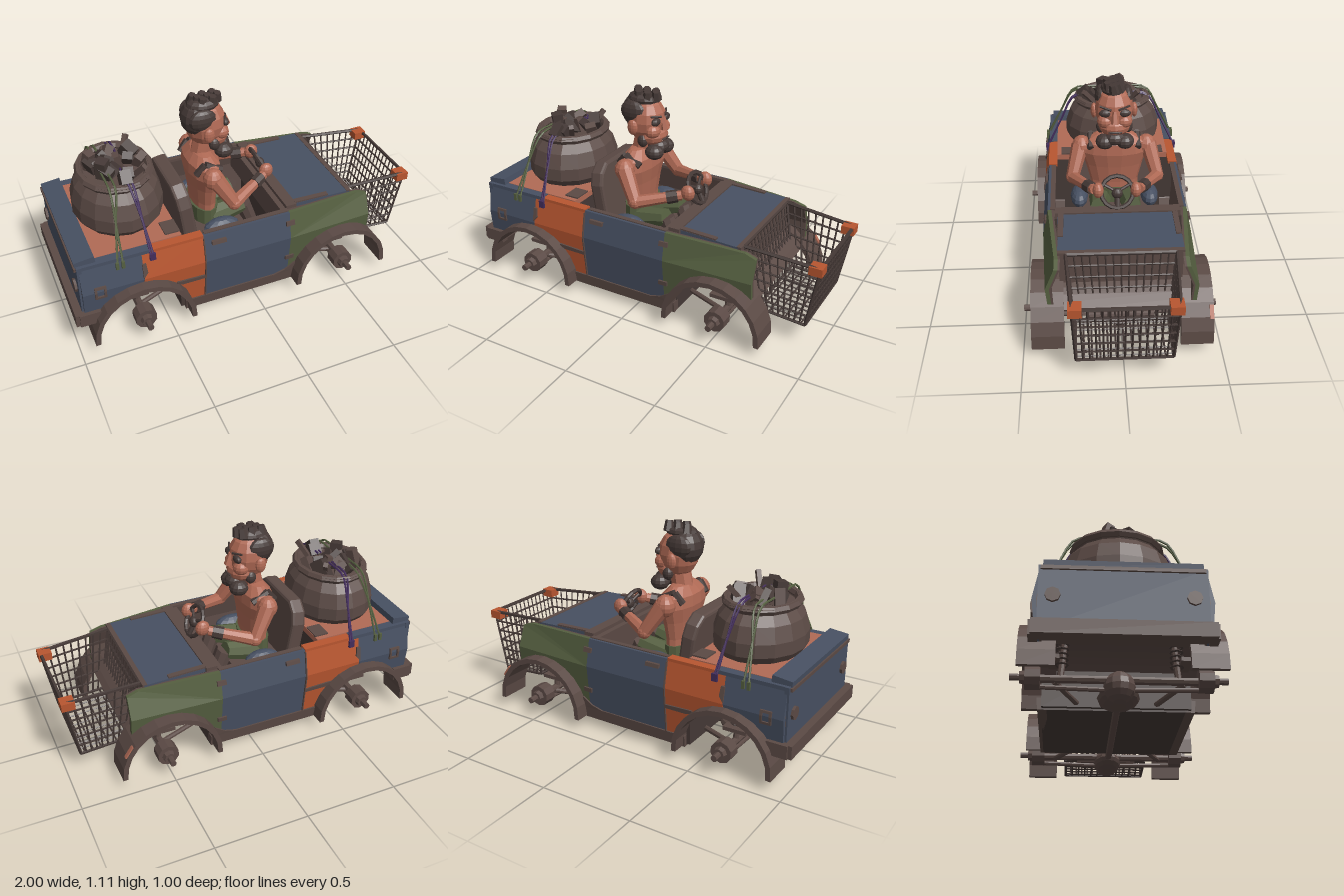
import * as THREE from 'three';

const paint = (name, color) =>
  Object.assign(new THREE.MeshStandardMaterial({ color, flatShading: true, side: THREE.DoubleSide }), { name });
const blue = paint('fadedBlue', 0x475062);
const orange = paint('rustOrange', 0xb85630);
const green = paint('oliveGreen', 0x555f40);
const brown = paint('oldBrown', 0x5b4a45);
const dark = paint('darkBrown', 0x453936);
const skin = paint('skin', 0xb06a55);
const purple = paint('purple', 0x432d5c);

const V = (x, y, z) => new THREE.Vector3(x, y, z);
let seed = 7;
const rnd = () => (seed = (seed * 16807) % 2147483647) / 2147483647;

export function createModel() {
  const root = new THREE.Group();
  let parent = root;
  const group = (name) => { parent = new THREE.Group(); parent.name = name; root.add(parent); };
  const add = (name, geo, mat, p = [0, 0, 0], r = [0, 0, 0], s = [1, 1, 1]) => {
    const m = new THREE.Mesh(geo, mat);
    m.name = name;
    m.position.set(...p); m.rotation.set(...r); m.scale.set(...s);
    parent.add(m);
    return m;
  };
  // box given by its limits
  const box = (name, mat, x0, x1, y0, y1, z0, z1) =>
    add(name, new THREE.BoxGeometry(x1 - x0, y1 - y0, z1 - z0), mat, [(x0 + x1) / 2, (y0 + y1) / 2, (z0 + z1) / 2]);
  const ball = (name, mat, p, s, r = [0, 0, 0]) => add(name, new THREE.SphereGeometry(1, 12, 8), mat, p, r, s);
  const rod = (name, mat, a, b, r0, r1 = r0, n = 8) => {
    const d = b.clone().sub(a);
    const m = add(name, new THREE.CylinderGeometry(r1, r0, d.length(), n), mat, a.clone().add(b).multiplyScalar(0.5).toArray());
    m.quaternion.setFromUnitVectors(V(0, 1, 0), d.normalize());
    return m;
  };
  const both = (fn) => [1, -1].forEach(fn);
  const shape = (pts) => new THREE.Shape(pts.map((p) => new THREE.Vector2(...p)));

  // half width of the body: creased at y 0.36, narrower towards the nose
  const side = (x, y) => {
    const t = Math.max(0, (x - 0.19) / 0.49);
    const crease = 0.4 - 0.02 * t, top = 0.37 - 0.05 * t;
    return y > 0.36 ? crease + (top - crease) * (y - 0.36) / 0.15 : crease - 0.03 * (0.36 - y) / 0.3;
  };
  const panel = (name, mat, pts, s, lift = 0, thick = 0.02) => {
    const g = new THREE.ExtrudeGeometry(shape(pts), { depth: 1, bevelEnabled: false });
    const a = g.attributes.position;
    for (let i = 0; i < a.count; i++) {
      const outer = (a.getZ(i) > 0.5) === (s > 0);
      a.setZ(i, s * (side(a.getX(i), a.getY(i)) + lift - (outer ? 0 : thick)));
    }
    g.computeVertexNormals();
    add(name, g, mat);
  };
  // body panel with a bare inner lining
  const lined = (name, mat, pts, s) => {
    panel(name, mat, pts, s);
    panel(name + 'Lining', brown, pts, s, -0.02, 0.01);
  };
  // thin plate lying on the body side
  const patch = (name, mat, pts, s) => panel(name, mat, pts, s, 0.009, 0.009);
  const rect = (x0, x1, y0, y1) => [[x0, y0], [x1, y0], [x1, y1], [x0, y1]];
  const RX = -0.65, FX = 0.49, AY = 0.07;
  const arc = (cx, r, a0, a1, n = 8) => Array.from({ length: n + 1 }, (_, i) => {
    const a = (a0 + (a1 - a0) * i / n) * Math.PI / 180;
    return [cx + r * Math.cos(a), AY + r * Math.sin(a)];
  });

  group('bodySides');
  both((s) => {
    lined('rearQuarterUpper', blue, rect(-0.95, -0.63, 0.36, 0.51), s);
    lined('rearQuarterLower', blue, [[-0.95, 0.36], [-0.95, 0.2], [-0.9, 0.17], ...arc(RX, 0.265, 160, 88), [-0.63, 0.36]], s);
    lined('middlePanelUpper', orange, rect(-0.63, -0.3, 0.36, 0.51), s);
    lined('middlePanelLower', orange, [[-0.63, 0.36], ...arc(RX, 0.265, 86, 8), [-0.3, 0.1], [-0.3, 0.36]], s);
    lined('doorUpper', blue, rect(-0.3, 0.19, 0.36, 0.51), s);
    lined('doorLower', blue, rect(-0.3, 0.19, 0.1, 0.36), s);
    lined('fenderUpper', green, [[0.19, 0.36], [0.68, 0.36], [0.68, 0.475], [0.62, 0.495], [0.19, 0.51]], s);
    lined('fenderLower', green, [[0.19, 0.36], [0.19, 0.1], [0.225, 0.1], ...arc(FX, 0.265, 172, 44), [0.68, 0.36]], s);
    panel('sill', brown, rect(-0.41, 0.25, 0.05, 0.112), s, 0.009, 0.045);
    // worn strips, hinges, handle and lamp
    patch('doorGap', brown, rect(-0.303, -0.297, 0.11, 0.36), s);
    patch('doorGap', brown, rect(-0.303, -0.297, 0.36, 0.5), s);
    patch('wornBand', brown, [[-0.46, 0.264], [-0.43, 0.25], [-0.3, 0.25], [-0.3, 0.27], [-0.46, 0.276]], s);
    patch('wornPatch', brown, [[0.1, 0.11], [0.23, 0.11], [0.23, 0.17], [0.17, 0.13]], s);
    patch('rustPatch', brown, [[-0.635, 0.37], [-0.61, 0.4], [-0.615, 0.45], [-0.635, 0.45]], s);
    [0.44, 0.21].forEach((y) => panel('hinge', brown, rect(0.165, 0.215, y, y + 0.025), s, 0.01, 0.012));
    panel('doorHandle', brown, rect(-0.26, -0.18, 0.455, 0.475), s, 0.015, 0.02);
    // square lamp ring
    patch('sideLamp', brown, rect(-0.89, -0.878, 0.362, 0.39), s);
    patch('sideLamp', brown, rect(-0.842, -0.83, 0.362, 0.39), s);
    patch('sideLamp', brown, rect(-0.89, -0.83, 0.378, 0.39), s);
    patch('sideLamp', brown, rect(-0.89, -0.878, 0.32, 0.362), s);
    patch('sideLamp', brown, rect(-0.842, -0.83, 0.32, 0.362), s);
    patch('sideLamp', brown, rect(-0.89, -0.83, 0.32, 0.332), s);
    box('doorRail', brown, -0.29, 0.19, 0.5, 0.515, s * 0.343 - 0.013, s * 0.343 + 0.013);
    box('middleRail', orange, -0.58, -0.3, 0.5, 0.516, s * 0.348 - 0.025, s * 0.348 + 0.025);
  });

  group('bodyShell');
  box('floor', dark, -0.41, 0.25, 0.05, 0.08, -0.36, 0.36);
  box('rearBulkhead', dark, -0.43, -0.41, 0.06, 0.49, -0.36, 0.36);
  box('frontBulkhead', dark, 0.23, 0.25, 0.06, 0.49, -0.35, 0.35);
  box('dashboard', brown, 0.16, 0.25, 0.36, 0.505, -0.35, 0.35);
  box('cowl', brown, 0.19, 0.25, 0.5, 0.525, -0.33, 0.33);
  box('hood', blue, 0.24, 0.58, 0.49, 0.512, -0.315, 0.315).rotation.z = -0.03;
  both((s) => box('hoodRust', brown, 0.25, 0.45, 0.513, 0.522, s * 0.3 - 0.014, s * 0.3 + 0.014).rotation.z = -0.03);
  box('hoodEdge', brown, 0.565, 0.59, 0.475, 0.51, -0.315, 0.315);
  box('nosePanel', brown, 0.56, 0.575, 0.3, 0.48, -0.31, 0.31);
  box('trunkDeck', skin, -0.9, -0.4, 0.49, 0.522, -0.325, 0.325);
  both((s) => {
    box('deckRail', blue, -0.95, -0.58, 0.5, 0.52, s * 0.348 - 0.025, s * 0.348 + 0.025);
    box('deckRust', brown, -0.48, -0.4, 0.523, 0.531, s * 0.25 - 0.05, s * 0.25 + 0.05);
  });
  box('tailPanel', blue, -0.96, -0.935, 0.2, 0.52, -0.375, 0.375);
  box('tailLining', brown, -0.935, -0.92, 0.2, 0.49, -0.37, 0.37);
  box('tailFloor', brown, -0.95, -0.87, 0.18, 0.2, -0.37, 0.37);
  box('tailLedge', blue, -0.965, -0.86, 0.515, 0.55, -0.355, 0.355).rotation.z = 0.12;
  box('tailSeam', brown, -0.971, -0.93, 0.497, 0.515, -0.365, 0.365);
  box('rearBumper', brown, -1, -0.93, 0.17, 0.24, -0.4, 0.4);
  both((s) => {
    box('bumperEnd', brown, -0.98, -0.87, 0.17, 0.24, s * 0.39 - 0.02, s * 0.39 + 0.02);
    add('tailLamp', new THREE.CylinderGeometry(0.035, 0.035, 0.02, 8), brown, [-0.963, 0.37, s * 0.31], [0, 0, Math.PI / 2]);
  });

  // open wheel arches, axles and suspension
  group('runningGear');
  const band = (name, cx, r0, r1, a0, a1, z0, z1) =>
    add(name, new THREE.ExtrudeGeometry(shape([...arc(cx, r1, a0, a1, 12), ...arc(cx, r0, a1, a0, 12)]), { depth: z1 - z0, bevelEnabled: false }), brown, [0, 0, z0]);
  [RX, FX].forEach((cx) => {
    const hx = cx < 0 ? -0.645 : 0.51;
    band('innerWell', cx, 0.255, 0.265, 40, 140, -0.29, 0.29);
    rod('axle', brown, V(hx, 0.11, -0.42), V(hx, 0.11, 0.42), 0.02);
    ball('differential', brown, [hx, 0.075, 0], [0.08, 0.075, 0.075]);
    both((s) => {
      band('wheelArch', cx, 0.25, 0.276, -3, 183, s > 0 ? 0.29 : -0.455, s > 0 ? 0.455 : -0.29);
      rod('brakeDrum', brown, V(hx, 0.115, s * 0.36), V(hx, 0.115, s * 0.43), 0.058, 0.058, 10);
      rod('hubCap', brown, V(hx, 0.115, s * 0.43), V(hx, 0.115, s * 0.455), 0.035, 0.03);
      rod('spindle', brown, V(hx, 0.115, s * 0.45), V(hx, 0.115, s * 0.5), 0.017);
      box('upperArm', brown, hx - 0.08, hx + 0.05, 0.18, 0.2, s * 0.3 - 0.025, s * 0.3 + 0.025);
      rod('damper', brown, V(hx, 0.12, s * 0.27), V(hx, 0.32, s * 0.25), 0.016);
      for (let i = 0; i < 5; i++)
        add('springCoil', new THREE.TorusGeometry(0.028, 0.006, 4, 8), dark, [hx, 0.18 + i * 0.025, s * 0.265], [Math.PI / 2, 0, 0]);
      rod('linkArm', brown, V(hx, 0.1, s * 0.3), V(cx < 0 ? -0.4 : 0.24, 0.08, s * 0.18), 0.014);
      rod('lowerArm', brown, V(hx, 0.07, s * 0.38), V(hx, 0.06, 0), 0.012);
    });
  });
  ball('rearHousing', brown, [-0.56, 0.055, 0], [0.14, 0.045, 0.1]);
  ball('frontHousing', brown, [0.43, 0.05, 0], [0.14, 0.05, 0.075]);
  rod('driveShaft', brown, V(-0.5, 0.05, 0), V(0.4, 0.05, 0), 0.018);
  rod('frontCrossTube', brown, V(0.58, 0.11, -0.17), V(0.58, 0.11, 0.17), 0.016);
  add('archPatch', new THREE.BoxGeometry(0.008, 0.07, 0.02), skin, [0.723, 0.225, -0.443], [0, 0, 0.6]);

  // wire basket at the nose
  group('basket');
  const corner = (ix, iz, t) => {
    const x = ix ? 0.92 + 0.06 * t : 0.66 - 0.07 * t;
    return V(x, (ix ? 0.12 : 0.14) + t * (ix ? 0.35 : 0.36), iz * (0.235 + (ix ? 0.015 : 0.04) * t));
  };
  const loop = [[0, -1], [1, -1], [1, 1], [0, 1]];
  loop.forEach((a, k) => {
    const b = loop[(k + 1) % 4], n = k % 2 ? 14 : 9;
    for (let i = 0; i <= 6; i++) {
      const r = i === 6 ? 0.01 : i === 0 ? 0.008 : 0.0055;
      rod('basketRing', dark, corner(...a, i / 6), corner(...b, i / 6), r, r, 5);
    }
    for (let i = 0; i < n; i++) {
      const f = i / n, r = i ? 0.005 : 0.008;
      rod('basketUpright', dark, corner(...a, 0).lerp(corner(...b, 0), f), corner(...a, 1).lerp(corner(...b, 1), f), r, r, 4);
    }
  });
  for (let i = 1; i < 12; i++) {
    const f = i / 12;
    rod('basketBase', dark, corner(0, -1, 0).lerp(corner(0, 1, 0), f), corner(1, -1, 0).lerp(corner(1, 1, 0), f), 0.005, 0.005, 4);
    if (i % 2) rod('basketBase', dark, corner(0, -1, 0).lerp(corner(1, -1, 0), f), corner(0, 1, 0).lerp(corner(1, 1, 0), f), 0.005, 0.005, 4);
  }
  both((s) => box('basketCorner', orange, 0.925, 0.995, 0.435, 0.48, s * 0.235 - 0.033, s * 0.235 + 0.033));

  // sack with scrap, tied down with straps
  group('cargo');
  const sack = [[0, 0.53], [0.21, 0.53], [0.237, 0.57], [0.238, 0.64], [0.215, 0.72], [0.18, 0.765], [0.195, 0.8], [0.175, 0.81], [0.16, 0.775], [0, 0.765]];
  add('sack', new THREE.LatheGeometry(shape(sack).getPoints(), 16), brown, [-0.635, 0, -0.01], [0, 0, 0], [1, 1, 1.17]);
  add('sackRim', new THREE.TorusGeometry(0.18, 0.022, 6, 16), brown, [-0.635, 0.79, -0.01], [Math.PI / 2, 0, 0], [1, 1.15, 1]);
  for (let i = 0; i < 20; i++) {
    const a = rnd() * 6.28, d = 0.14 * Math.sqrt(rnd()), h = 0.06 + rnd() * 0.06;
    add('scrap', new THREE.BoxGeometry(0.03 + rnd() * 0.05, h, 0.03 + rnd() * 0.04), i % 3 ? dark : brown,
      [-0.635 + d * Math.cos(a), 0.785 + rnd() * 0.04, d * 1.1 * Math.sin(a)], [rnd(), rnd() * 3, rnd() - 0.5]);
  }
  both((s) => {
    rod('plank', brown, V(-0.58, 0.76, s * 0.08), V(-0.52, 0.87, s * 0.16), 0.018, 0.018, 4);
    [[-0.69, -0.76, green], [-0.72, -0.73, green], [-0.62, -0.57, purple], [-0.6, -0.585, purple]].forEach(([x0, x1, mat]) => {
      const curve = new THREE.CatmullRomCurve3([V(x0, 0.82, s * 0.06), V(x0, 0.81, s * 0.215), V((x0 + x1) / 2, 0.67, s * 0.295), V(x1, 0.48, s * 0.388)]);
      add('strap', new THREE.TubeGeometry(curve, 12, 0.006, 5), mat);
      add('strapHook', new THREE.BoxGeometry(0.016, 0.04, 0.012), mat, [x1, 0.485, s * 0.388]);
    });
  });

  group('seat');
  const backShape = shape([[-0.2, 0.2], [0.2, 0.2], [0.21, 0.56], [0.19, 0.62], [0.14, 0.66], [-0.14, 0.66], [-0.19, 0.62], [-0.21, 0.56]]);
  add('seatBack', new THREE.ExtrudeGeometry(backShape, { depth: 0.05, bevelSize: 0.015, bevelThickness: 0.015, bevelSegments: 2 }), brown,
    [-0.28, 0.02, -0.01]).rotation.set(0, Math.PI / 2, 0.14, 'ZYX');
  box('seatCushion', brown, -0.28, 0.02, 0.22, 0.36, -0.2, 0.2);
  both((s) => ball('seatBlanket', blue, [-0.13, 0.4, s * 0.2], [0.1, 0.05, 0.05]));

  group('steering');
  add('steeringWheel', new THREE.TorusGeometry(0.085, 0.012, 6, 16), dark, [0.18, 0.605, 0]).rotation.set(0, Math.PI / 2, 0.45, 'ZYX');
  ball('steeringHub', dark, [0.185, 0.6, 0], [0.025, 0.03, 0.03]);
  rod('steeringColumn', dark, V(0.18, 0.6, 0), V(0.24, 0.47, 0), 0.014);
  [0, 1, 2].forEach((i) => {
    const a = Math.PI * (1.5 + i / 1.5);
    rod('wheelSpoke', dark, V(0.18, 0.605, 0), V(0.18 - 0.037 * Math.sin(a), 0.605 + 0.077 * Math.sin(a), 0.085 * Math.cos(a)), 0.009);
  });

  group('driver');
  const trunk = [[0, 0.36], [0.13, 0.38], [0.135, 0.5], [0.16, 0.6], [0.19, 0.68], [0.18, 0.74], [0.1, 0.785], [0, 0.8]];
  add('torso', new THREE.LatheGeometry(shape(trunk).getPoints(), 14), skin, [-0.165, 0, 0], [0, 0, 0], [0.47, 1, 1]);
  add('belt', new THREE.CylinderGeometry(0.14, 0.14, 0.09, 14), green, [-0.165, 0.42, 0], [0, 0, 0], [0.55, 1, 1]);
  rod('neck', skin, V(-0.165, 0.75, 0), V(-0.14, 0.88, 0), 0.06, 0.055);
  both((s) => {
    ball('shoulder', skin, [-0.165, 0.705, s * 0.18], [0.055, 0.06, 0.055]);
    rod('shoulderStrap', dark, V(-0.235, 0.71, s * 0.12), V(-0.19, 0.765, s * 0.13), 0.02, 0.02, 6);
    rod('shoulderStrap', dark, V(-0.19, 0.765, s * 0.13), V(-0.1, 0.72, s * 0.13), 0.02, 0.02, 6);
    rod('upperArm', skin, V(-0.16, 0.71, s * 0.19), V(-0.07, 0.56, s * 0.235), 0.048, 0.036);
    ball('elbow', skin, [-0.07, 0.56, s * 0.235], [0.038, 0.037, 0.037]);
    rod('forearm', skin, V(-0.07, 0.56, s * 0.235), V(0.15, 0.605, s * 0.12), 0.036, 0.026);
    rod('wristWrap', dark, V(0.08, 0.59, s * 0.157), V(0.13, 0.601, s * 0.13), 0.036, 0.034);
    ball('hand', skin, [0.175, 0.615, s * 0.1], [0.04, 0.043, 0.03]);
    rod('thigh', green, V(-0.14, 0.39, s * 0.08), V(0.04, 0.43, s * 0.09), 0.065, 0.05);
    rod('shin', brown, V(0.04, 0.43, s * 0.09), V(0.15, 0.14, s * 0.08), 0.046, 0.035);
    box('shoe', dark, 0.11, 0.22, 0.08, 0.13, s * 0.08 - 0.03, s * 0.08 + 0.03);
    // face sides
    ball('ear', skin, [-0.155, 0.925, s * 0.11], [0.03, 0.042, 0.018]);
    ball('eyeSocket', dark, [-0.047, 0.955, s * 0.05], [0.02, 0.022, 0.035]);
    rod('eyebrow', dark, V(-0.032, 0.978, s * 0.02), V(-0.06, 0.99, s * 0.08), 0.007, 0.006, 5);
    ball('cheek', skin, [-0.07, 0.9, s * 0.05], [0.045, 0.04, 0.045]);
    ball('sideburn', dark, [-0.115, 0.845, s * 0.075], [0.03, 0.035, 0.025]);
    ball('beardLobe', dark, [-0.055, 0.785, s * 0.055], [0.052, 0.042, 0.05]);
    ball('sideHair', dark, [-0.175, 1.0, s * 0.072], [0.075, 0.06, 0.032]);
  });
  ball('head', skin, [-0.135, 0.945, 0], [0.11, 0.128, 0.105]);
  ball('jaw', skin, [-0.095, 0.865, 0], [0.08, 0.06, 0.088]);
  rod('nose', skin, V(-0.035, 0.97, 0), V(-0.018, 0.905, 0), 0.014, 0.024, 6);
  ball('backHair', dark, [-0.185, 0.985, 0], [0.085, 0.095, 0.098]);
  ball('topHair', dark, [-0.15, 1.06, 0.005], [0.088, 0.038, 0.068]);
  for (let i = 0; i < 8; i++)
    rod('hairTuft', dark, V(-0.2 + i * 0.018, 1.06, (i % 3 - 1) * 0.03), V(-0.195 + i * 0.018, 1.108, 0.01 + (i % 3 - 1) * 0.027), 0.03, 0.02, 6);
  ball('beard', dark, [-0.06, 0.805, 0], [0.058, 0.04, 0.06]);
  ball('mouth', dark, [-0.018, 0.853, 0], [0.008, 0.006, 0.04]);

  return root;
}
